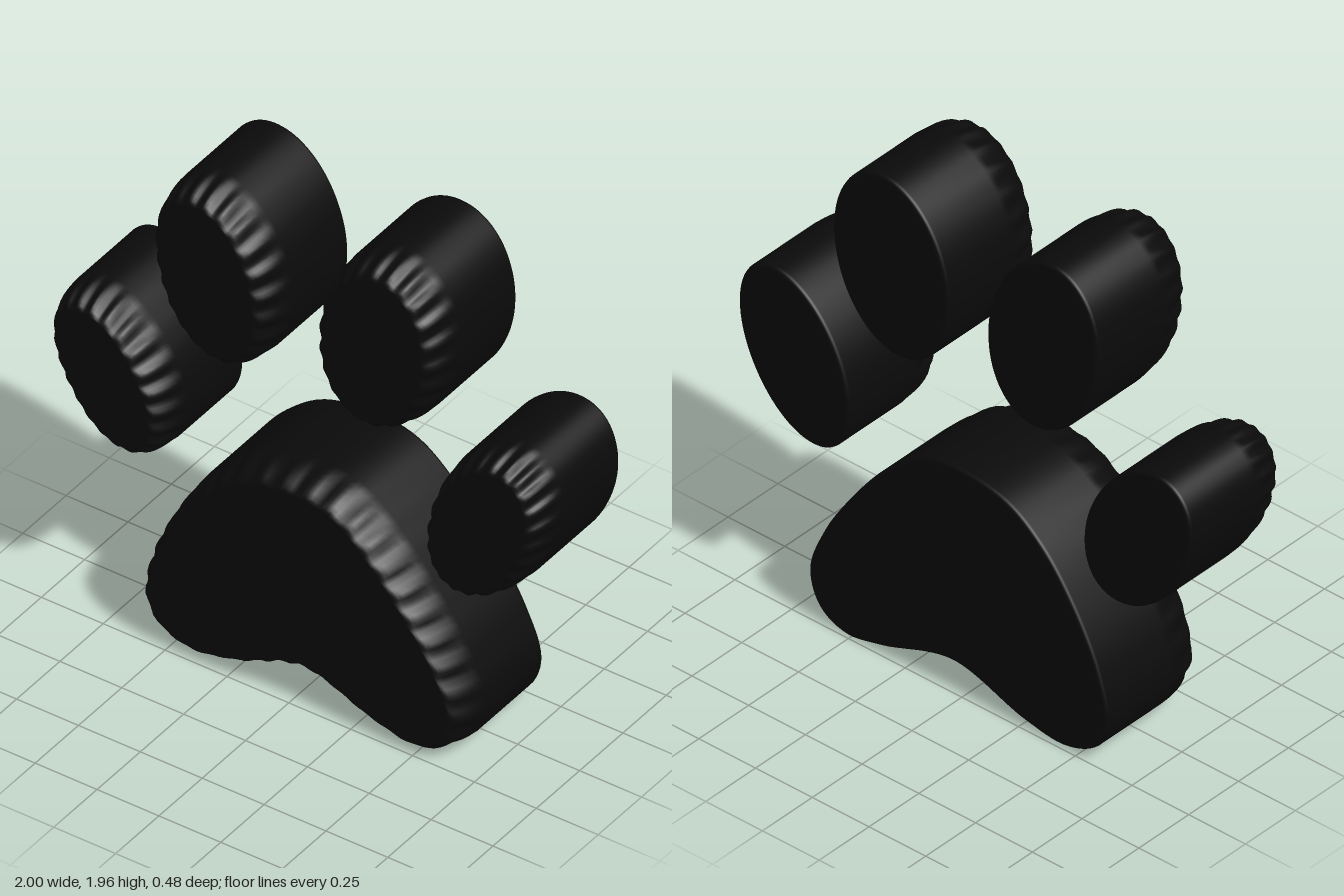
import * as THREE from 'three';

const material = new THREE.MeshStandardMaterial({ color: 0x0a0a0a });
const COUNT = 160;
const DEPTH = 0.24;

// Toes are leaning ovals: centre, half width, half height, sideways lean of the top
const toes = [
  { name: 'leftInnerToe', x: 0.325, y: 1.605, w: 0.253, h: 0.355, lean: 0.03 },
  { name: 'rightInnerToe', x: -0.345, y: 1.6, w: 0.241, h: 0.35, lean: -0.045 },
  { name: 'leftOuterToe', x: 0.752, y: 1.033, w: 0.228, h: 0.323, lean: 0.085 },
  { name: 'rightOuterToe', x: -0.762, y: 1.01, w: 0.22, h: 0.3, lean: -0.09 },
];

function toeOutline({ x, y, w, h, lean }) {
  return Array.from({ length: COUNT }, (_, i) => {
    const t = (i / COUNT) * Math.PI * 2;
    return new THREE.Vector2(x + w * Math.cos(t) + lean * Math.sin(t), y + h * Math.sin(t));
  });
}

// Main pad: domed top, two rounded lobes and an arched underside
function mainPadOutline() {
  const points = [
    [0.06, 0.92], [-0.18, 0.89], [-0.34, 0.78], [-0.48, 0.6], [-0.59, 0.38], [-0.63, 0.18],
    [-0.58, 0.07], [-0.45, 0.01], [-0.27, 0.03], [0.05, 0.12], [0.37, 0.03], [0.53, 0.005],
    [0.64, 0.06], [0.685, 0.19], [0.62, 0.38], [0.51, 0.56], [0.36, 0.75], [0.2, 0.885],
  ].map(([x, y]) => new THREE.Vector3(x, y, 0));
  return new THREE.CatmullRomCurve3(points, true).getSpacedPoints(COUNT).slice(0, COUNT);
}

// Rim from back to front: a tight back edge, a soft front edge with carved ripples
function rimRings() {
  const rings = [];
  for (let k = 0; k <= 3; k++) {
    const a = (k / 3) * Math.PI / 2;
    rings.push({ z: -DEPTH + 0.015 * (1 - Math.sin(a)), inset: 0.015 * (1 - Math.sin(a)), ripple: 0 });
  }
  rings.forEach((ring, k) => { ring.z = -DEPTH + 0.015 * (1 - Math.cos((k / 3) * Math.PI / 2)); });
  for (let k = 0; k <= 8; k++) {
    const a = (k / 8) * Math.PI / 2;
    rings.push({
      z: DEPTH - 0.16 * (1 - Math.sin(a)),
      inset: 0.06 * (1 - Math.cos(a)),
      ripple: 0.008 * Math.sin(2 * a),
    });
  }
  return rings;
}

// Loft an outline through the rim rings and close it with flat faces
function padGeometry(outline, cx, cy, ridges) {
  const rings = rimRings();
  const positions = [];
  const index = [];
  for (const { z, inset, ripple } of rings) {
    outline.forEach((p, i) => {
      const dx = p.x - cx, dy = p.y - cy;
      const wave = 1 - Math.cos((i / COUNT) * ridges * Math.PI * 2);
      const s = 1 - (inset + ripple * wave) / Math.hypot(dx, dy);
      positions.push(cx + dx * s, cy + dy * s, z);
    });
  }
  const last = (rings.length - 1) * COUNT;
  const back = rings.length * COUNT, front = back + 1;
  positions.push(cx, cy, -DEPTH, cx, cy, DEPTH);
  for (let i = 0; i < COUNT; i++) {
    const j = (i + 1) % COUNT;
    for (let r = 0; r < last; r += COUNT) {
      index.push(r + i, r + j, r + j + COUNT, r + i, r + j + COUNT, r + i + COUNT);
    }
    index.push(back, j, i, front, last + i, last + j);
  }
  const geometry = new THREE.BufferGeometry();
  geometry.setAttribute('position', new THREE.Float32BufferAttribute(positions, 3));
  geometry.setIndex(index);
  geometry.computeVertexNormals();
  return geometry;
}

export function createModel() {
  const group = new THREE.Group();
  group.name = 'pawPrint';
  const addPad = (name, geometry) => {
    const mesh = new THREE.Mesh(geometry, material);
    mesh.name = name;
    group.add(mesh);
  };
  for (const toe of toes) addPad(toe.name, padGeometry(toeOutline(toe), toe.x, toe.y, 22));
  addPad('mainPad', padGeometry(mainPadOutline(), 0.03, 0.48, 36));
  return group;
}
